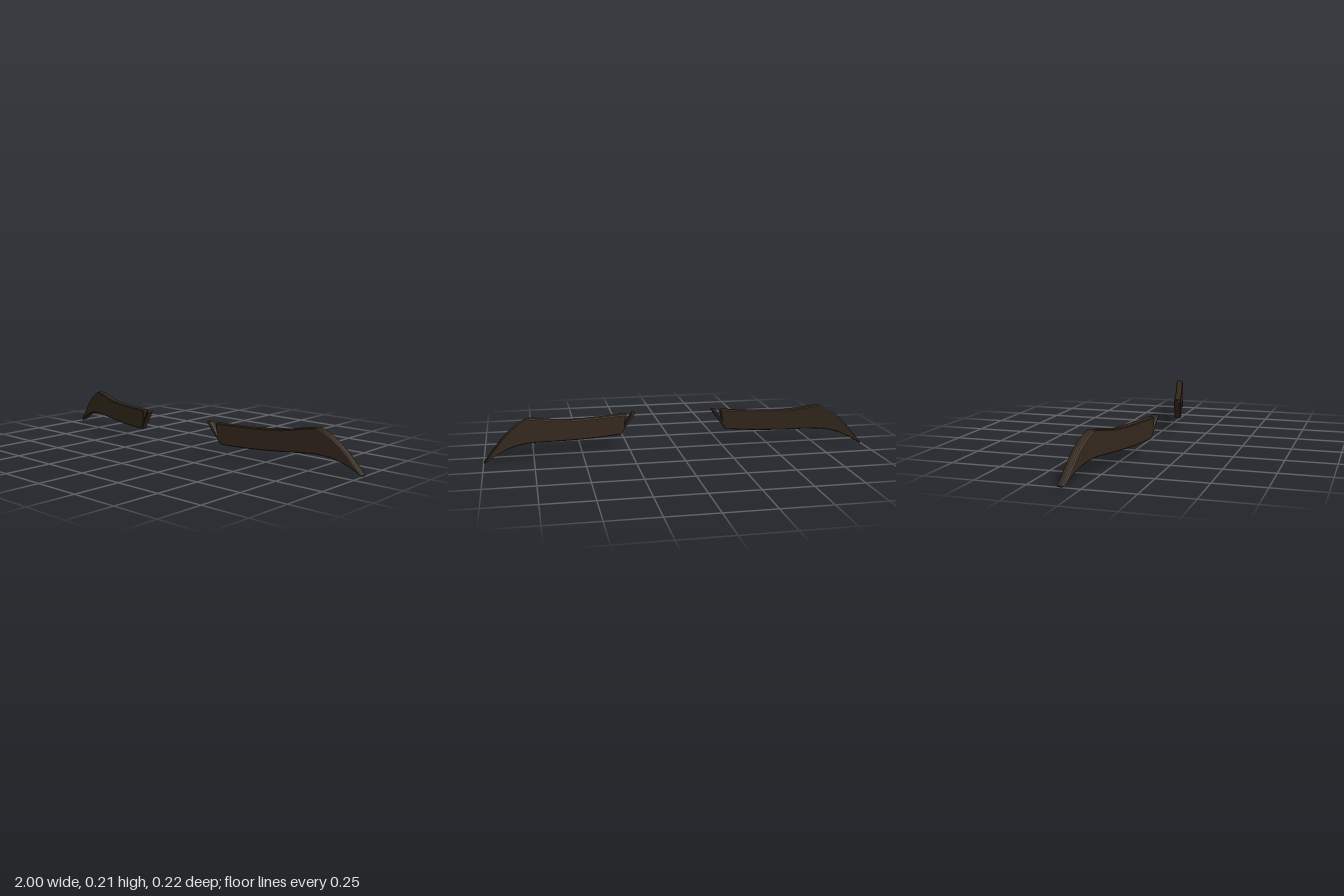
import * as THREE from 'three';
import { toCreasedNormals } from 'three/addons/utils/BufferGeometryUtils.js';

const DEPTH = 0.037; // front-to-back thickness
const BEVEL = 0.006;

// One eyebrow; side is +1 for the left one, -1 for the right one
function makeBrow(side, material) {
  const pts = (list) => list.map(([x, y]) => new THREE.Vector2(x * side, y));
  const shape = new THREE.Shape();
  const lines = (list) => pts(list).forEach((p) => shape.lineTo(p.x, p.y));

  // Split hair tuft and notch at the inner end
  shape.moveTo(0.285 * side, 0.071);
  lines([[0.208, 0.178], [0.213, 0.185], [0.228, 0.184], [0.268, 0.118], [0.255, 0.176], [0.26, 0.181]]);
  // Upper edge rising to the arch
  shape.splineThru(pts([[0.36, 0.179], [0.48, 0.178], [0.6, 0.183], [0.69, 0.198], [0.755, 0.209]]));
  lines([[0.78, 0.209]]);
  // Falling outer edge to the blunt tip
  shape.splineThru(pts([[0.81, 0.196], [0.855, 0.167], [0.9, 0.127], [0.945, 0.074], [0.999, 0.008]]));
  lines([[0.997, 0.002], [0.99, 0.003]]);
  // Lower edge back to the inner end
  shape.splineThru(pts([[0.95, 0.028], [0.9, 0.053], [0.84, 0.071], [0.77, 0.079], [0.7, 0.077],
    [0.57, 0.07], [0.42, 0.067], [0.285, 0.071]]));

  const bevelThickness = 0.011;
  const geo = new THREE.ExtrudeGeometry(shape, {
    depth: DEPTH - 2 * bevelThickness,
    bevelEnabled: true, bevelThickness, bevelSize: BEVEL, bevelOffset: -BEVEL, bevelSegments: 2,
    curveSegments: 3,
  });
  geo.translate(0, 0, bevelThickness - DEPTH / 2);

  // Sweep the brow backwards towards its outer end
  const pos = geo.attributes.position;
  for (let i = 0; i < pos.count; i++) {
    pos.setZ(i, pos.getZ(i) + 0.0945 - 0.239 * (Math.abs(pos.getX(i)) - 0.21));
  }
  const mesh = new THREE.Mesh(toCreasedNormals(geo, 0.5), material);
  mesh.name = side > 0 ? 'leftEyebrow' : 'rightEyebrow';
  return mesh;
}

export function createModel() {
  const group = new THREE.Group();
  group.name = 'eyebrows';
  const material = new THREE.MeshStandardMaterial({ color: 0x33271c });
  for (const side of [1, -1]) group.add(makeBrow(side, material));
  return group;
}
